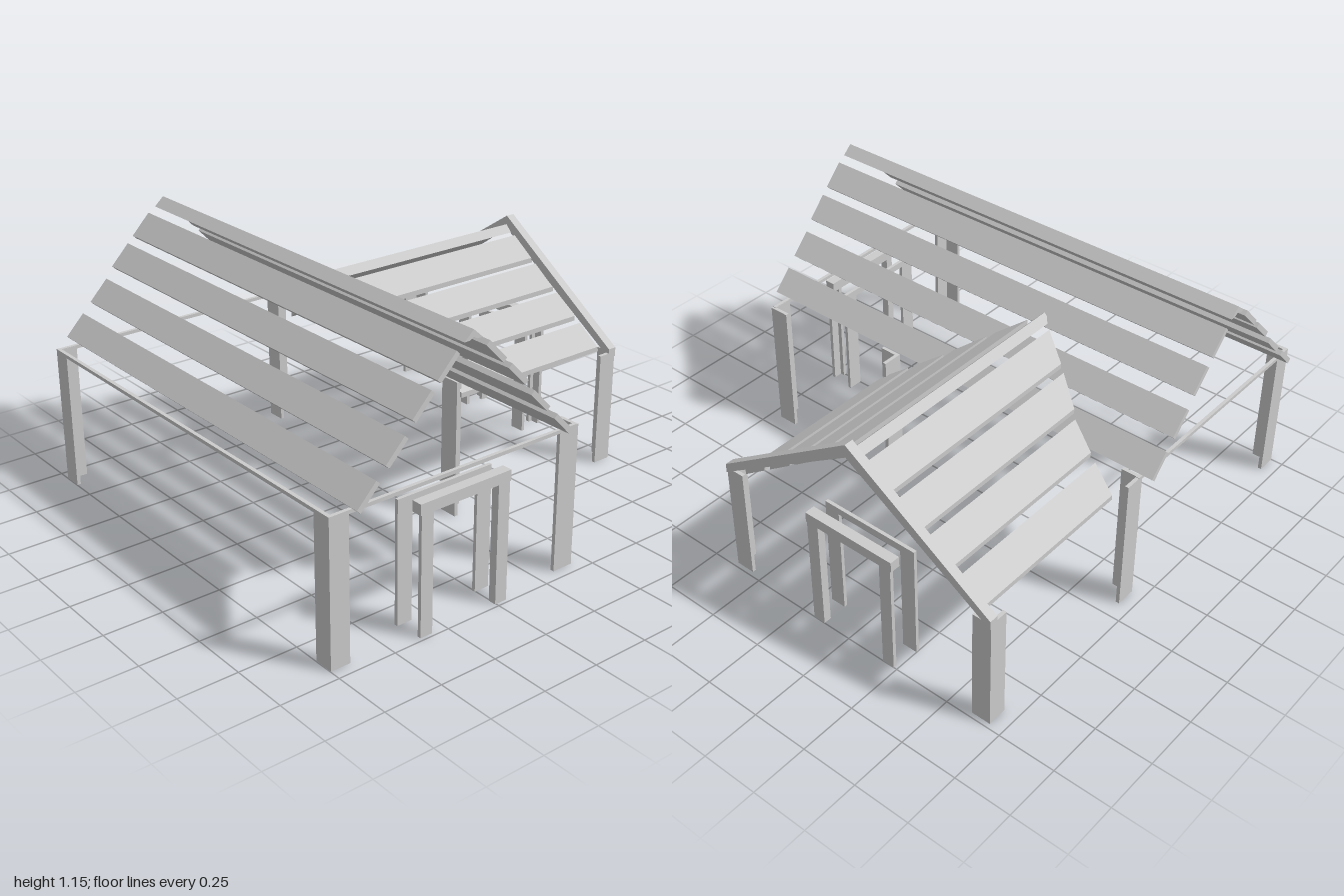
import * as THREE from 'three';

const material = new THREE.MeshStandardMaterial({ color: 0xcccccc, flatShading: true });

function add(parent, name, geometry) {
  const mesh = new THREE.Mesh(geometry, material);
  mesh.name = name;
  parent.add(mesh);
  return mesh;
}

// Box given by its min and max on each axis
function box(parent, name, x0, x1, y0, y1, z0, z1) {
  const mesh = add(parent, name, new THREE.BoxGeometry(x1 - x0, y1 - y0, z1 - z0));
  mesh.position.set((x0 + x1) / 2, (y0 + y1) / 2, (z0 + z1) / 2);
  return mesh;
}

function extrude(points, depth) {
  const shape = new THREE.Shape(points.map(([x, y]) => new THREE.Vector2(x, y)));
  return new THREE.ExtrudeGeometry(shape, { depth, bevelEnabled: false });
}

// Plan outline in x and z, raised to height h
const raise = (plan, h) => extrude(plan.map(([x, z]) => [x, -z]), h).rotateX(-Math.PI / 2);

// Angle-section post: outer corner, directions of its two flanges, height
function anglePost(parent, name, x, z, dx, dz, h, a = 0.085, b = 0.085) {
  const t = 0.016;
  add(parent, name, raise([
    [x, z], [x + dx * a, z], [x + dx * a, z + dz * t],
    [x + dx * t, z + dz * t], [x + dx * t, z + dz * b], [x, z + dz * b],
  ], h));
}

// Door frame, opening facing +z, with its outer face at z = 0
function doorFrame(name) {
  const g = new THREE.Group();
  g.name = name;
  for (const s of [-1, 1]) {
    anglePost(g, 'outerDoorJamb', s * 0.155, 0, s, -1, 0.51, 0.055, 0.035);
    box(g, 'innerDoorJamb', s * 0.19 - 0.034, s * 0.19 + 0.034, 0, 0.5, -0.13, -0.115);
  }
  box(g, 'outerDoorHeader', -0.215, 0.215, 0.5, 0.545, -0.045, 0);
  box(g, 'innerDoorHeader', -0.224, 0.224, 0.49, 0.52, -0.13, -0.115);
  return g;
}

export function createModel() {
  const model = new THREE.Group();
  model.name = 'house';

  // Posts of the main hall
  const hall = new THREE.Group();
  hall.name = 'mainHall';
  model.add(hall);
  anglePost(hall, 'frontRightPost', -0.945, 0.998, 1, -1, 0.605);
  anglePost(hall, 'frontLeftPost', 0.95, 0.998, -1, -1, 0.605);
  anglePost(hall, 'backLeftPost', 0.95, -0.18, -1, 1, 0.605, 0.09, 0.095);
  anglePost(hall, 'backRightPost', -0.945, -0.08, 1, -1, 0.605, 0.085, 0.09);
  anglePost(hall, 'valleyPost', 0.285, -0.08, 1, -1, 0.605, 0.09, 0.09);

  // Thin rails on top of the posts
  box(hall, 'frontRail', -0.945, 0.95, 0.592, 0.607, 0.982, 0.998);
  box(hall, 'rightRail', -0.945, -0.93, 0.592, 0.607, -0.1, 0.99);
  box(hall, 'leftRail', 0.935, 0.95, 0.592, 0.607, -0.17, 0.99);

  // Main roof: four slats on each slope and a ridge cap
  const ridgeZ = 0.41, pitch = 0.805;
  for (const s of [-1, 1]) {
    [[0.11, 1.04], [0.22, 0.925], [0.335, 0.79], [0.458, 0.661]].forEach(([d, y]) => {
      const slat = add(hall, 'mainRoofSlat', new THREE.BoxGeometry(2, 0.022, 0.12));
      slat.position.set(0, y, ridgeZ + s * d);
      slat.rotation.x = s * pitch;
    });
  }
  const cap = add(hall, 'mainRidgeCap',
    extrude([[-0.042, 1.112], [-0.018, 1.112], [0, 1.122], [0.018, 1.112], [0.042, 1.112], [0, 1.15]], 2));
  cap.rotation.y = Math.PI / 2;
  cap.position.set(-1, 0, ridgeZ);

  // Rear wing: gable posts and gable beam
  const wing = new THREE.Group();
  wing.name = 'rearWing';
  model.add(wing);
  const ridgeX = -0.275, half = 0.665;
  for (const s of [-1, 1]) {
    anglePost(wing, 'gablePost', ridgeX + s * half, -0.98, -s, 1, 0.51);
  }
  const beam = add(wing, 'gableBeam', extrude(
    [[-half, 0.49], [0, 0.915], [half, 0.49], [half, 0.53], [0, 0.972], [-half, 0.53]], 0.04));
  beam.position.set(ridgeX, 0, -0.985);

  // Wing roof: slats cut along the valley; [inner offset, outer z, inner z]
  const slope = 0.7, backZ = -0.95;
  const slats = [[0.055, 0.065, 0.13], [0.195, -0.03, 0.045], [0.335, -0.105, -0.06], [0.48, -0.158, -0.12]];
  for (const s of [-1, 1]) {
    for (const [d, zOuter, zInner] of slats) {
      const e = d + 0.112;
      const geometry = raise([[s * d, backZ], [s * e, backZ], [s * e, zOuter], [s * d, zInner]], 0.022);
      const p = geometry.attributes.position;
      for (let i = 0; i < p.count; i++) {
        p.setY(i, p.getY(i) + 0.91 - slope * Math.abs(p.getX(i)));
      }
      geometry.computeVertexNormals();
      add(wing, 'wingRoofSlat', geometry).position.x = ridgeX;
    }
  }
  const wingCap = add(wing, 'wingRidgeCap',
    extrude([[-0.03, 0.9], [0, 0.91], [0.03, 0.9], [0, 0.932]], 1.12));
  wingCap.position.set(ridgeX, 0, backZ);

  // Door frames in the left end wall and in the gable wall
  const sideDoor = doorFrame('sideDoor');
  sideDoor.rotation.y = Math.PI / 2;
  sideDoor.position.set(0.985, 0, 0.41);
  const backDoor = doorFrame('backDoor');
  backDoor.rotation.y = Math.PI;
  backDoor.position.set(ridgeX, 0, -1);
  model.add(sideDoor, backDoor);

  return model;
}
